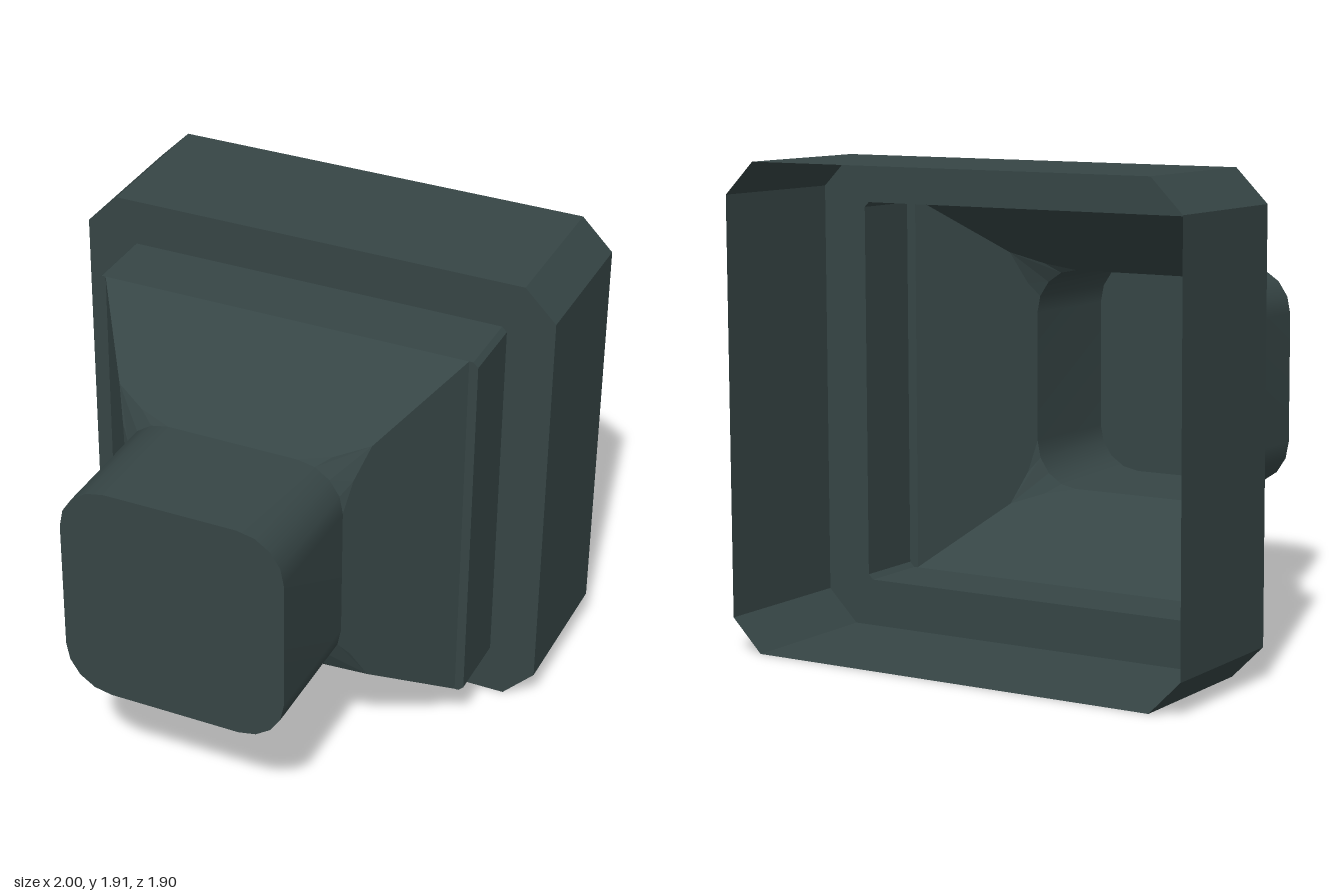
import * as THREE from 'three';
import { mergeVertices } from 'three/addons/utils/BufferGeometryUtils.js';

const CY = 0.957; // height of the central axis
const V = (x, y, z) => new THREE.Vector3(x, y, z);

// Rectangle with cut corners, anticlockwise seen from the front
function cutRect(w, h, c, z) {
  return [[w, -h + c], [w, h - c], [w - c, h], [-w + c, h],
    [-w, h - c], [-w, -h + c], [-w + c, -h], [w - c, -h]].map(([x, y]) => V(x, y, z));
}

// Repeats one corner's points around the axis in quarter turns
function fourCorners(points) {
  const loop = [];
  for (let k = 0; k < 4; k++) {
    for (const p of points) loop.push(p.clone().applyAxisAngle(V(0, 0, 1), k * Math.PI / 2));
  }
  return loop;
}

// Skins a series of equal-length loops running from back to front
function skin(loops, smooth = false) {
  const pos = [];
  const tri = (a, b, c) => {
    const area = b.clone().sub(a).cross(c.clone().sub(a)).length();
    if (area > 1e-7) for (const p of [a, b, c]) pos.push(p.x, p.y, p.z);
  };
  for (let j = 0; j + 1 < loops.length; j++) {
    const a = loops[j], b = loops[j + 1], n = a.length;
    for (let i = 0; i < n; i++) {
      const k = (i + 1) % n;
      tri(a[i], a[k], b[k]);
      tri(a[i], b[k], b[i]);
    }
  }
  let geo = new THREE.BufferGeometry();
  geo.setAttribute('position', new THREE.Float32BufferAttribute(pos, 3));
  if (smooth) geo = mergeVertices(geo, 1e-4);
  geo.computeVertexNormals();
  return geo;
}

export function createModel() {
  const group = new THREE.Group();
  const material = new THREE.MeshStandardMaterial({ color: 0x364545, side: THREE.DoubleSide });
  const add = (name, geometry) => {
    const mesh = new THREE.Mesh(geometry, material);
    mesh.name = name;
    mesh.position.y = CY;
    group.add(mesh);
  };

  // Wide collar, open at the back, with a flat shoulder in front
  const collarFront = cutRect(1, CY, 0.13, -0.315);
  const bodyBack = cutRect(0.805, 0.768, 0.02, -0.315);
  add('collar', skin([cutRect(1, CY, 0.13, -0.95), collarFront]));
  add('collarShoulder', skin([collarFront, bodyBack]));

  // Square body with narrow lips beside the funnel
  const bodyFront = cutRect(0.805, 0.768, 0.02, -0.02);
  add('body', skin([bodyBack, bodyFront]));
  add('bodyLip', skin([bodyFront, cutRect(0.765, 0.768, 0, -0.02)]));

  // Funnel: flat sloping sides, with curved patches blending into the neck corners
  const neck = 0.46, flat = 0.27, apex = 0.53, base = 0.768;
  const zAt = (h) => 0.43 - (h - neck) * 0.45 / (base - neck);
  const mid = [], outer = [];
  for (let i = -2; i <= 2; i++) {
    const t = 1 - Math.abs(i) / 2;
    const u = flat + (apex - flat) * t;
    const h = neck + (apex - neck) * Math.pow(t, 1.5);
    const s = u * base / apex;
    mid.push(i <= 0 ? V(h, u, zAt(h)) : V(u, h, zAt(h)));
    outer.push(i <= 0 ? V(base, s, -0.02) : V(s, base, -0.02));
  }
  const arc = (z) => [0, 1, 2, 3, 4].map((i) => {
    const a = i * Math.PI / 8, r = neck - flat;
    return V(flat + r * Math.cos(a), flat + r * Math.sin(a), z);
  });
  const neckBack = fourCorners(arc(0.43)), neckFront = fourCorners(arc(0.95));
  add('funnel', skin([fourCorners(outer), fourCorners(mid), neckBack]));

  // Rounded square neck with a flat end
  add('neck', skin([neckBack, neckFront], true));
  const cap = new THREE.ShapeGeometry(new THREE.Shape(neckFront.map((p) => new THREE.Vector2(p.x, p.y))));
  add('neckEnd', cap.translate(0, 0, 0.95));

  return group;
}
